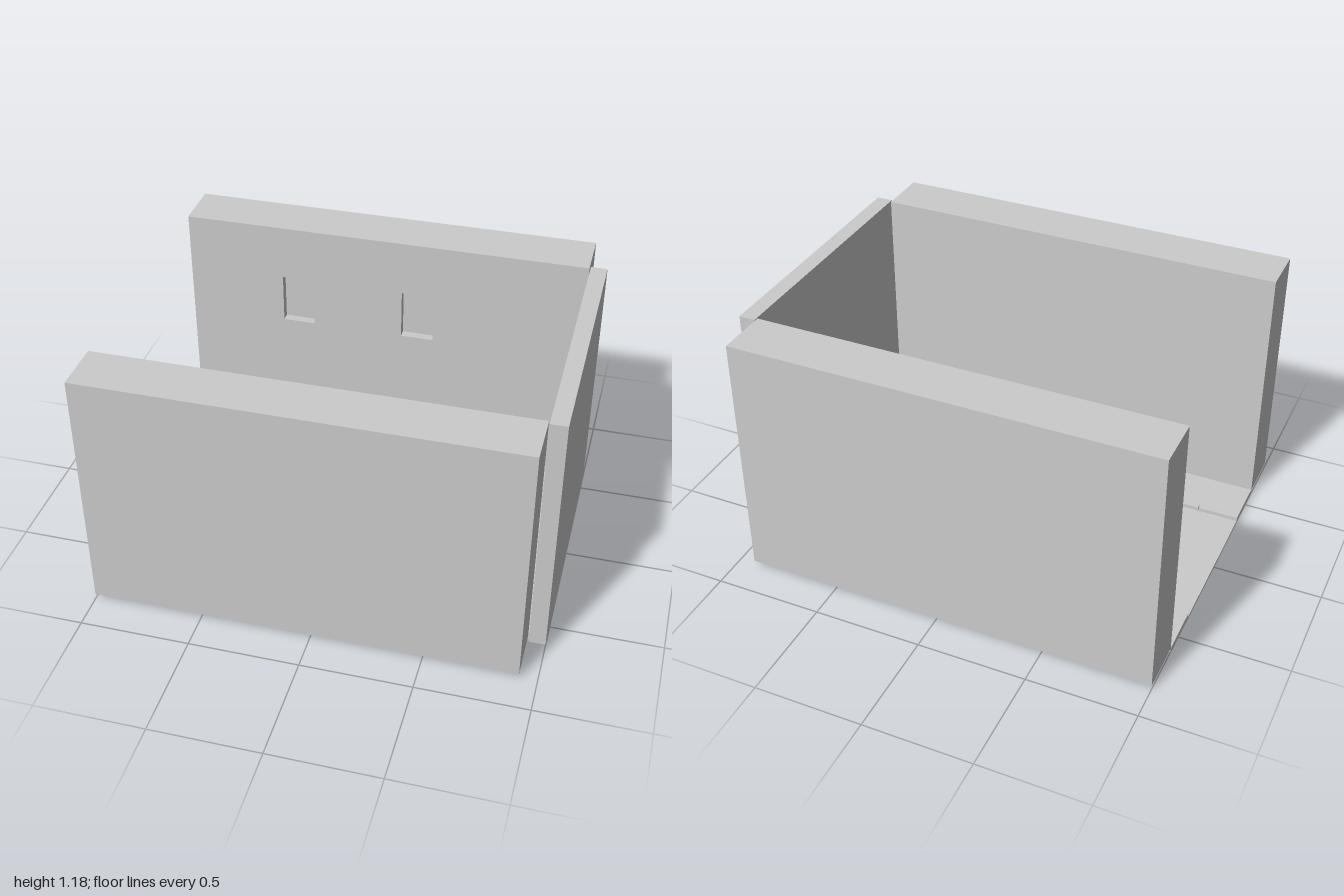
import * as THREE from 'three';

export function createModel() {
  const model = new THREE.Group();
  const material = new THREE.MeshStandardMaterial({ color: 0xcccccc, flatShading: true });

  function add(name, geometry) {
    const mesh = new THREE.Mesh(geometry, material);
    mesh.name = name;
    model.add(mesh);
    return mesh;
  }

  // Box given by its lower and upper corners
  function block(name, [x0, y0, z0], [x1, y1, z1]) {
    const geometry = new THREE.BoxGeometry(x1 - x0, y1 - y0, z1 - z0);
    geometry.translate((x0 + x1) / 2, (y0 + y1) / 2, (z0 + z1) / 2);
    return add(name, geometry);
  }

  const polygon = (points) => new THREE.Shape(points.map(([x, y]) => new THREE.Vector2(x, y)));
  const rect = (x0, y0, x1, y1) => polygon([[x0, y0], [x1, y0], [x1, y1], [x0, y1]]);
  const extrude = (shape, depth) => new THREE.ExtrudeGeometry(shape, { depth, bevelEnabled: false });

  const left = -1, right = 0.92, top = 1.18, base = 0.022;

  // Long walls; the back one has two window niches in its inner face
  block('frontWall', [left, base, 0.597], [right, top, 0.835]);
  block('backWall', [left, base, -0.84], [right, top, -0.64]);
  const innerFace = rect(left, base, right, top);
  for (const x of [-0.535, 0.055]) innerFace.holes.push(rect(x, 0.675, x + 0.155, 0.915));
  add('backWallWindowLayer', extrude(innerFace, 0.04)).position.z = -0.64;

  // End wall with a doorway, closed by a thin panel at the outside
  const doorZ = [-0.2, 0.19], doorTop = 0.34;
  const endShape = polygon([
    [-0.615, 0.003], [-doorZ[1], 0.003], [-doorZ[1], doorTop], [-doorZ[0], doorTop],
    [-doorZ[0], 0.003], [0.615, 0.003], [0.615, top], [-0.615, top],
  ]);
  const endWall = add('endWall', extrude(endShape, 0.075).rotateY(Math.PI / 2));
  endWall.position.x = 0.925;
  block('doorPanel', [0.995, 0.003, doorZ[0]], [1, doorTop, doorZ[1]]);

  // Road, raised pavements and a row of kerb stones on each side
  block('road', [left, 0, -0.365], [0.927, 0.003, 0.36]);
  block('frontPavement', [left, 0, 0.383], [0.927, base, 0.6]);
  block('backPavement', [left, 0, -0.6], [0.927, base, -0.389]);
  const count = 10, step = 0.1935, gap = 0.003;
  for (const [side, z0, z1] of [['front', 0.36, 0.383], ['back', -0.389, -0.365]]) {
    block(side + 'KerbBed', [left, 0, z0], [0.927, 0.003, z1]);
    for (let i = 0; i < count; i++) {
      const x = left + i * step;
      block(side + 'KerbStone', [x, 0.003, z0], [Math.min(x + step - gap, 0.927), base - 0.001, z1]);
    }
  }
  return model;
}
